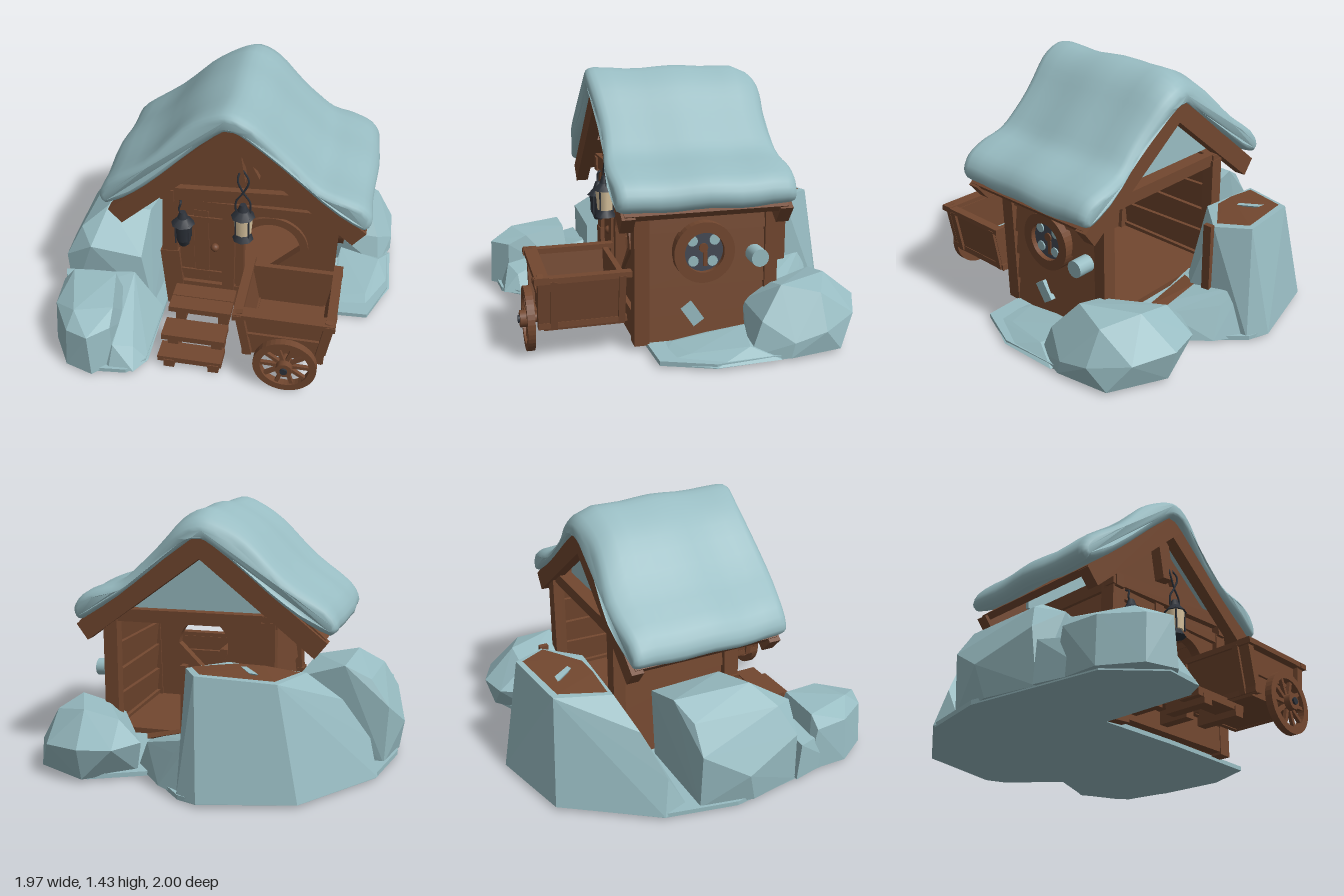
import * as THREE from 'three';
import { toCreasedNormals } from 'three/addons/utils/BufferGeometryUtils.js';
import { ConvexGeometry } from 'three/addons/geometries/ConvexGeometry.js';

const paint = (name, color) => {
  const m = new THREE.MeshStandardMaterial({ color });
  m.name = name;
  return m;
};
const snow = paint('snow', 0x98bcc2);
const wood = paint('wood', 0x72472f);
const iron = paint('iron', 0x2d323a);
const glass = paint('lanternGlass', 0xdcc6a0);
const pane = paint('windowPane', 0x464b56);

export function createModel() {
  const model = new THREE.Group();
  const add = (name, geo, mat, x = 0, y = 0, z = 0, parent = model) => {
    const m = new THREE.Mesh(geo, mat);
    m.name = name;
    m.position.set(x, y, z);
    parent.add(m);
    return m;
  };
  const box = (name, mat, w, h, d, x, y, z, parent) =>
    add(name, new THREE.BoxGeometry(w, h, d), mat, x, y, z, parent);
  // Beam lying in an xy plane between two points
  const beam = (name, x1, y1, x2, y2, width, z, depth) => {
    const m = box(name, wood, Math.hypot(x2 - x1, y2 - y1), width, depth, (x1 + x2) / 2, (y1 + y2) / 2, z);
    m.rotation.z = Math.atan2(y2 - y1, x2 - x1);
    return m;
  };
  const shapeOf = pts => new THREE.Shape(pts.map(p => new THREE.Vector2(p[0], p[1])));
  const extrude = (shape, depth) =>
    new THREE.ExtrudeGeometry(shape, { depth, bevelEnabled: false, curveSegments: 20 });
  // Flat plate from [x, z] points
  const plate = (name, mat, pts, depth, y) =>
    add(name, extrude(shapeOf(pts.map(([x, z]) => [x, -z])), depth).rotateX(-Math.PI / 2), mat, 0, y, 0);
  const rock = (name, pts, mat = snow) =>
    add(name, new ConvexGeometry(pts.map(p => new THREE.Vector3(...p))), mat);

  // Snowy ground
  plate('ground', snow, [[-0.62, 0.97], [-0.42, 0.95], [-0.33, 0.85], [-0.33, 0.3], [0.2, 0.3], [0.86, 0.27], [0.97, 0], [0.95, -0.4],
    [0.85, -0.72], [0.6, -0.82], [0.3, -0.68], [0.05, -0.95], [-0.06, -0.99], [-0.55, -0.86], [-0.88, -0.4], [-0.96, 0], [-0.9, 0.4],
    [-0.85, 0.75]], 0.025, 0.012);

  // Rocks
  rock('leftRock', [[-0.96, 0.02, 0.1], [-0.9, 0.02, 0.4], [-0.9, 0.02, -0.2], [-0.4, 0.02, 0.42], [-0.36, 0.02, -0.2],
    [-0.99, 0.2, 0.05], [-0.92, 0.32, 0.38], [-0.92, 0.35, -0.2], [-0.84, 0.48, 0.3], [-0.82, 0.5, -0.2], [-0.7, 0.58, 0.2],
    [-0.68, 0.58, -0.25], [-0.46, 0.54, 0.15], [-0.42, 0.5, -0.25], [-0.46, 0.38, 0.4], [-0.75, 0.44, 0.43]]);
  rock('frontLeftRock', [[-0.88, 0.02, 0.5], [-0.88, 0.02, 0.76], [-0.76, 0.02, 0.95], [-0.6, 0.02, 1], [-0.5, 0.02, 0.9],
    [-0.48, 0.02, 0.5], [-0.88, 0.28, 0.55], [-0.86, 0.28, 0.75], [-0.82, 0.35, 0.54], [-0.57, 0.36, 0.54], [-0.52, 0.33, 0.78],
    [-0.72, 0.34, 0.85], [-0.74, 0.27, 0.94], [-0.61, 0.28, 0.99], [-0.51, 0.28, 0.89]]);
  rock('frontLeftLowRock', [[-0.92, 0.02, 0.4], [-0.85, 0.02, 0.7], [-0.33, 0.02, 0.42], [-0.32, 0.02, 0.84], [-0.38, 0.02, 0.94],
    [-0.52, 0.02, 0.95], [-0.92, 0.24, 0.42], [-0.5, 0.28, 0.42], [-0.46, 0.2, 0.55], [-0.4, 0.12, 0.85], [-0.5, 0.16, 0.9], [-0.85, 0.22, 0.6]]);
  rock('backRock', [[-0.89, 0.02, -0.4], [-0.84, 0.02, -0.25], [-0.55, 0.02, -0.88], [-0.06, 0.02, -1], [0.06, 0.02, -0.94],
    [0.12, 0.02, -0.5], [-0.3, 0.02, -0.44], [-0.84, 0.22, -0.36], [-0.52, 0.6, -0.52], [-0.43, 0.61, -0.82], [-0.02, 0.64, -0.88],
    [0.08, 0.63, -0.7], [-0.1, 0.63, -0.52], [-0.7, 0.45, -0.45]]);
  rock('backRockTop', [[-0.49, 0.605, -0.54], [-0.41, 0.616, -0.79], [-0.04, 0.643, -0.85], [0.05, 0.64, -0.7],
    [-0.1, 0.637, -0.62], [-0.16, 0.633, -0.55], [-0.3, 0.628, -0.54], [-0.3, 0.605, -0.65]], wood);
  rock('backRockSnowPatch', [[-0.32, 0.635, -0.75], [-0.27, 0.64, -0.75], [-0.2, 0.645, -0.65], [-0.23, 0.643, -0.64], [-0.27, 0.61, -0.7]]);
  box('backRockBoard', wood, 0.03, 0.42, 0.05, 0.095, 0.43, -0.68);
  rock('backLowRock', [[0, 0.02, -0.95], [0.2, 0.02, -0.82], [0.4, 0.02, -0.58], [0.4, 0.02, -0.4], [0, 0.02, -0.45],
    [0, 0.3, -0.86], [0.12, 0.2, -0.8], [0.34, 0.17, -0.6], [0.34, 0.17, -0.48], [0, 0.26, -0.48]]);
  rock('backLowBoard', [[0.06, 0.25, -0.5], [0.1, 0.25, -0.6], [0.35, 0.18, -0.57], [0.38, 0.18, -0.49], [0.2, 0.17, -0.5]], wood);
  rock('rightRock', [[0.38, 0.02, -0.65], [0.5, 0.02, -0.3], [0.9, 0.02, -0.2], [0.97, 0.02, -0.4], [0.92, 0.02, -0.7], [0.62, 0.02, -0.85],
    [0.34, 0.2, -0.7], [0.44, 0.2, -0.86], [0.62, 0.2, -0.9], [0.84, 0.18, -0.8], [0.96, 0.14, -0.6], [0.97, 0.1, -0.42], [0.88, 0.2, -0.27],
    [0.6, 0.22, -0.26], [0.64, 0.32, -0.4], [0.8, 0.36, -0.4], [0.86, 0.32, -0.6], [0.66, 0.36, -0.7], [0.46, 0.32, -0.7]]);
  rock('rightLowRock', [[0.6, 0.02, 0.25], [0.85, 0.02, 0.27], [0.98, 0.02, 0], [0.97, 0.02, -0.35], [0.6, 0.02, -0.35],
    [0.66, 0.045, 0.15], [0.84, 0.05, 0.1], [0.9, 0.08, -0.2], [0.66, 0.1, -0.25]]);

  // Snow roof: a rounded profile swept along z, sagging toward the back
  const roofPts = [[-0.63, 0.78], [-0.67, 0.83], [-0.61, 0.94], [-0.39, 1.1], [-0.18, 1.31], [-0.02, 1.41], [0.09, 1.435], [0.21, 1.375], [0.33, 1.25],
    [0.45, 1.13], [0.55, 1.04], [0.67, 1], [0.78, 0.95], [0.83, 0.87], [0.8, 0.805], [0.72, 0.84], [0.45, 1.04], [0.17, 1.29],
    [0.08, 1.33], [0, 1.29], [-0.3, 1.02], [-0.52, 0.84], [-0.63, 0.78]];
  const roofShape = new THREE.Shape(new THREE.SplineCurve(roofPts.map(p => new THREE.Vector2(...p))).getPoints(66));
  const roof = new THREE.ExtrudeGeometry(roofShape, {
    depth: 0.84, steps: 10, bevelThickness: 0.05, bevelSize: 0.03, bevelOffset: -0.03, bevelSegments: 3 });
  roof.translate(0, 0, -0.42);
  const rp = roof.attributes.position;
  for (let i = 0; i < rp.count; i++) {
    const x = rp.getX(i), y = rp.getY(i), z = rp.getZ(i);
    const sag = 0.09 * Math.pow(Math.max(0, -z - 0.28) / 0.19, 2) * (y - 0.78) / 0.65;
    rp.setY(i, y - sag + 0.006 * Math.cos(z * 15) - 0.006);
    rp.setX(i, x + 0.008 * Math.sin(z * 9 + x * 3));
    rp.setZ(i, z * (1.01 + 0.03 * Math.sin(x * 12)));
  }
  add('snowRoof', toCreasedNormals(roof, 0.9), snow);

  // Rafters crossing at the ridge, eave boards
  for (const [z, top] of [[0.41, 1.315], [-0.42, 1.255]]) {
    beam('leftRafter', -0.58, 0.7, 0.11, top, 0.11, z, 0.07);
    beam('rightRafter', 0.77, 0.73, 0.05, top, 0.11, z, 0.07);
  }
  beam('leftEave', -0.59, 0.745, -0.33, 0.97, 0.04, 0, 0.86);
  beam('rightEave', 0.785, 0.77, 0.58, 0.935, 0.04, 0, 0.86);

  // Ceiling, with snow packed above it behind a tie beam
  box('ceiling', wood, 0.92, 0.025, 0.68, 0.155, 0.835, -0.06);
  add('snowGable', extrude(shapeOf([[-0.36, 0.86], [0.52, 0.86], [0.52, 0.97], [0.08, 1.3], [-0.36, 0.97]]), 0.02), snow, 0, 0, -0.33);
  beam('tieBeam', -0.34, 0.83, 0.64, 0.83, 0.07, -0.395, 0.05);

  // Front wall with arched opening
  const arch = (r, bottom, Path = THREE.Path) => {
    const p = new Path();
    p.moveTo(0.29 + r, bottom);
    p.absarc(0.29, 0.52, r, 0, Math.PI, false);
    p.lineTo(0.29 - r, bottom);
    p.closePath();
    return p;
  };
  const wall = shapeOf([[-0.31, 0.05], [0.63, 0.05], [0.64, 0.83], [0.08, 1.27], [-0.33, 0.9]]);
  wall.holes.push(arch(0.16, 0.2));
  add('frontWall', extrude(wall, 0.04), wood, 0, 0, 0.28);
  const frame = arch(0.205, 0.18, THREE.Shape);
  frame.holes.push(arch(0.16, 0.2));
  add('archFrame', extrude(frame, 0.045), wood, 0, 0, 0.295);
  beam('crossBeam', -0.34, 0.83, 0.6, 0.88, 0.08, 0.33, 0.06);
  beam('lintel', -0.3, 0.76, 0.64, 0.765, 0.06, 0.325, 0.04);
  beam('sill', -0.3, 0.12, 0.62, 0.12, 0.15, 0.315, 0.06);
  beam('gablePost', 0.1, 0.97, 0.05, 1.3, 0.09, 0.35, 0.07);
  beam('gableBrace', 0.08, 1.23, 0.2, 0.98, 0.035, 0.335, 0.04);
  beam('leftPostLower', -0.27, 0.02, -0.3, 0.42, 0.11, 0.305, 0.1);
  beam('leftPostUpper', -0.3, 0.4, -0.28, 0.83, 0.09, 0.305, 0.09);
  beam('middlePost', 0.04, 0.15, 0.05, 0.8, 0.07, 0.325, 0.06);
  beam('rightPost', 0.6, 0.03, 0.62, 0.84, 0.08, 0.31, 0.08);

  // Door
  for (let i = 0; i < 3; i++) box('doorPlank', wood, 0.083, 0.5, 0.03, -0.2 + i * 0.086, 0.47, 0.315 + (i % 2) * 0.004);
  for (const y of [0.27, 0.66]) box('doorRail', wood, 0.25, 0.035, 0.012, -0.115, y, 0.334);
  add('doorKnob', new THREE.SphereGeometry(0.025, 12, 8), wood, -0.035, 0.475, 0.345);

  // Overlapping side wall planks, rear posts and floor
  for (const [side, x] of [[1, 0.61], [-1, -0.29]]) {
    for (let i = 0; i < 5; i++) {
      const p = box('sidePlank', wood, 0.035, 0.17, 0.75, x, 0.12 + i * 0.15, -0.04);
      p.rotation.set((i % 2 ? 1 : -1) * 0.015, 0, side * 0.13);
    }
    box('sideBeam', wood, 0.06, 0.08, 0.8, x, 0.82, -0.03);
    box('rearPost', wood, 0.08, 0.8, 0.07, x, 0.43, -0.4);
  }
  box('floor', wood, 0.9, 0.03, 0.74, 0.16, 0.165, -0.04);

  // Round side window
  const ring = new THREE.Shape().absarc(0, 0, 0.165, 0, Math.PI * 2);
  ring.holes.push(new THREE.Path().absarc(0, 0, 0.108, 0, Math.PI * 2));
  add('windowFrame', extrude(ring, 0.06).rotateY(Math.PI / 2), wood, 0.62, 0.53, -0.02);
  const disc = (name, mat, r, x, y, z, depth = 0.008) =>
    add(name, new THREE.CylinderGeometry(r, r, depth, 16).rotateZ(Math.PI / 2), mat, x, y, z);
  disc('windowPane', pane, 0.112, 0.648, 0.53, -0.02);
  for (const [dy, dz] of [[0.06, 0.06], [-0.05, 0.055], [-0.055, -0.05], [0.06, -0.06]]) disc('windowFrost', snow, 0.028, 0.655, 0.53 + dy, -0.02 + dz);
  disc('windowOrnament', wood, 0.025, 0.655, 0.55, -0.02);
  box('windowOrnamentStem', wood, 0.008, 0.08, 0.022, 0.655, 0.49, -0.03);
  disc('snowyLogEnd', snow, 0.048, 0.69, 0.495, -0.305, 0.1);
  box('snowPatch', snow, 0.03, 0.12, 0.07, 0.64, 0.185, 0.035).rotation.x = 0.6;

  // Steps: [top, z, depth] for each tread
  for (const [top, z, depth] of [[0.07, 0.785, 0.12], [0.14, 0.68, 0.14], [0.18, 0.515, 0.1], [0.18, 0.41, 0.1]])
    box('stepTread', wood, 0.36, 0.035, depth, -0.085, top - 0.0175, z);
  for (const x of [-0.2, 0.05]) {
    box('stepFoot', wood, 0.06, 0.05, 0.24, x, 0.027, 0.73);
    box('stepBlock', wood, 0.06, 0.08, 0.12, x, 0.075, 0.68);
    box('stepSupport', wood, 0.06, 0.08, 0.18, x, 0.11, 0.45);
  }

  // Cart
  const cart = new THREE.Group();
  cart.name = 'cart';
  model.add(cart);
  const cartEnd = shapeOf([[-0.2, 0.17], [0.19, 0.17], [0.24, 0.45], [-0.24, 0.45]]);
  for (const z of [0.4, 0.79]) add('cartEnd', extrude(cartEnd, 0.03), wood, 0.43, 0, z, cart);
  for (const s of [-1, 1]) {
    box('cartSide', wood, 0.025, 0.28, 0.42, 0.43 + s * 0.22, 0.31, 0.61, cart).rotation.z = -s * 0.17;
    box('cartSideRail', wood, 0.05, 0.03, 0.5, 0.43 + s * 0.245, 0.455, 0.62, cart);
    box('cartSideFoot', wood, 0.04, 0.03, 0.46, 0.43 + s * 0.2, 0.2, 0.62, cart);
    for (const z of [0.42, 0.77]) box('cartStud', wood, 0.03, 0.27, 0.035, 0.43 + s * 0.235, 0.32, z, cart).rotation.z = -s * 0.17;
    box('cartFrontStud', wood, 0.045, 0.3, 0.03, 0.43 + s * 0.215, 0.33, 0.835, cart).rotation.z = -s * 0.17;
  }
  box('cartFrontRail', wood, 0.54, 0.03, 0.07, 0.43, 0.46, 0.83, cart);
  box('cartFrontBand', wood, 0.46, 0.025, 0.02, 0.43, 0.31, 0.825, cart);
  box('cartFloor', wood, 0.4, 0.03, 0.4, 0.43, 0.19, 0.61, cart);
  plate('cartSnow', snow, [[0.23, 0.79], [0.62, 0.79], [0.62, 0.57], [0.52, 0.6], [0.42, 0.64], [0.3, 0.66], [0.23, 0.68]], 0.02, 0.206);

  // Cart wheel
  const wheel = new THREE.Group();
  wheel.name = 'cartWheel';
  wheel.position.set(0.45, 0.173, 0.87);
  cart.add(wheel);
  const rim = new THREE.Shape().absarc(0, 0, 0.172, 0, Math.PI * 2);
  rim.holes.push(new THREE.Path().absarc(0, 0, 0.132, 0, Math.PI * 2));
  add('rim', extrude(rim, 0.04), wood, 0, 0, -0.01, wheel);
  for (let i = 0; i < 10; i++) {
    const a = i * Math.PI / 5;
    box('spoke', wood, 0.12, 0.02, 0.02, Math.cos(a) * 0.085, Math.sin(a) * 0.085, 0.01, wheel).rotation.z = a;
  }
  const hub = r => new THREE.CylinderGeometry(r, r, 0.07, 14).rotateX(Math.PI / 2);
  add('hub', hub(0.045), wood, 0, 0, 0.02, wheel);
  add('hubCap', hub(0.02), iron, 0, 0, 0.03, wheel);
  add('axle', hub(0.025), wood, 0, 0, -0.04, wheel);

  // Lanterns: flared base, body, cap and bars
  const lantern = (name, x, y, z, bodyMat, baseTop, baseBottom, bodyBottom) => {
    const g = new THREE.Group();
    g.name = name;
    g.position.set(x, y, z);
    model.add(g);
    const cyl = (n, r1, r2, h, py, mat) => add(n, new THREE.CylinderGeometry(r1, r2, h, 8), mat, 0, py, 0, g);
    cyl('base', baseTop, baseBottom, 0.04, -0.08, iron);
    cyl('body', 0.056, bodyBottom, 0.12, 0, bodyMat);
    cyl('cap', 0.026, 0.068, 0.045, 0.075, iron);
    cyl('chimney', 0.018, 0.032, 0.04, 0.11, iron);
    for (let i = 0; i < 4; i++) {
      const a = i * Math.PI / 2 + 0.78;
      box('bar', iron, 0.008, 0.13, 0.008, Math.cos(a) * 0.052, 0, Math.sin(a) * 0.052, g);
    }
  };
  const wire = (name, pts) => add(name, new THREE.TubeGeometry(
    new THREE.CatmullRomCurve3(pts.map(p => new THREE.Vector3(...p))), 20, 0.006, 5), iron);
  lantern('doorLantern', -0.21, 0.595, 0.37, iron, 0.042, 0.025, 0.042);
  wire('doorLanternHook', [[-0.21, 0.7, 0.37], [-0.23, 0.74, 0.37], [-0.22, 0.78, 0.365], [-0.23, 0.79, 0.33]]);
  lantern('hangingLantern', 0.135, 0.71, 0.395, glass, 0.035, 0.06, 0.046);
  for (const s of [-1, 1])
    wire('hangingWire', [[0.135 + s * 0.04, 0.79, 0.395], [0.135 + s * 0.038, 0.86, 0.395], [0.135, 0.92, 0.395], [0.135 - s * 0.03, 1, 0.395], [0.12, 1.06, 0.37]]);

  return model;
}
